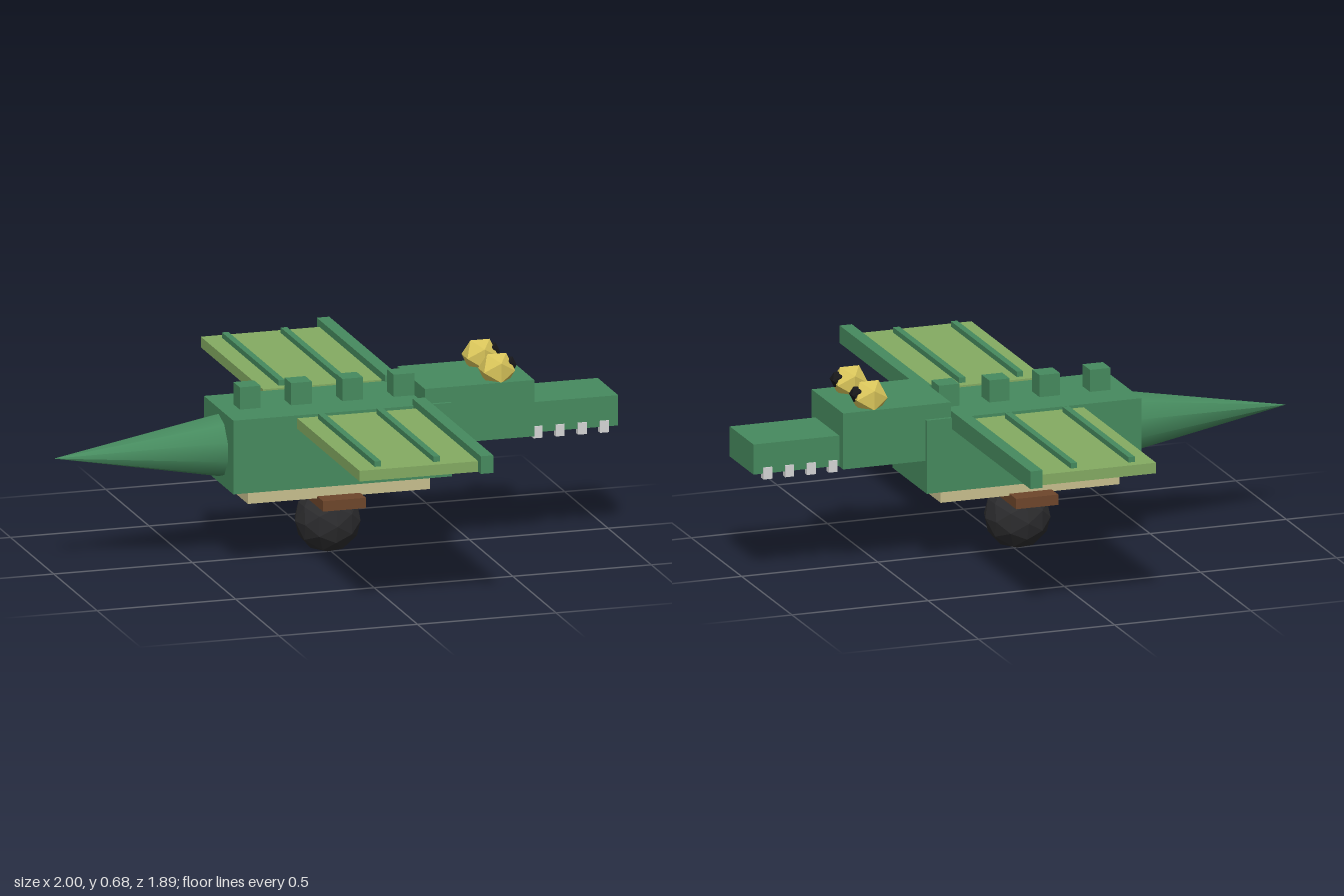
import * as THREE from 'three';

const mat = (name, color, flatShading = false) => {
  const m = new THREE.MeshStandardMaterial({ color, flatShading });
  m.name = name;
  return m;
};

export function createModel() {
  const model = new THREE.Group();
  model.name = 'wingedReptileOnWheel';

  const green = mat('scaleGreen', 0x468a5e);
  const lime = mat('wingGreen', 0x84ab62);
  const tan = mat('bellyTan', 0xc8bf8e);
  const brown = mat('axleBrown', 0x6e462b);
  const rubber = mat('wheelBlack', 0x2c2c2e, true);
  const yellow = mat('eyeYellow', 0xd8c45a, true);
  const black = mat('pupilBlack', 0x17171a, true);
  const ivory = mat('toothWhite', 0xd6d6d6);

  const add = (name, geometry, material, x, y, z) => {
    const mesh = new THREE.Mesh(geometry, material);
    mesh.name = name;
    mesh.position.set(x, y, z);
    model.add(mesh);
    return mesh;
  };
  // Box given by its limits on each axis
  const box = (name, material, [x0, x1], [y0, y1], [z0, z1]) =>
    add(name, new THREE.BoxGeometry(x1 - x0, y1 - y0, z1 - z0), material,
      (x0 + x1) / 2, (y0 + y1) / 2, (z0 + z1) / 2);
  // The same limits on the +z or -z side
  const side = (s, a, b) => (s > 0 ? [a, b] : [-b, -a]);

  // Trunk, head and snout
  box('body', green, [-0.405, 0.383], [0.28, 0.543], [-0.17, 0.17]);
  box('belly', tan, [-0.34, 0.317], [0.23, 0.28], [-0.13, 0.13]);
  box('head', green, [0.29, 0.685], [0.395, 0.596], [-0.157, 0.157]);
  box('snout', green, [0.685, 1], [0.398, 0.506], [-0.118, 0.118]);

  // Tapering tail
  const tailGeo = new THREE.ConeGeometry(0.112, 0.6, 10);
  tailGeo.rotateY(Math.PI / 2).rotateZ(Math.PI / 2);
  add('tail', tailGeo, green, -0.7, 0.412, 0);

  // Blocks along the spine
  for (let i = 0; i < 4; i++) {
    const x = -0.303 + i * 0.185;
    box('backBlock', green, [x - 0.0375, x + 0.0375], [0.53, 0.622], [-0.0375, 0.0375]);
  }

  // Single wheel on its axle bar
  box('axle', brown, [-0.09, 0.065], [0.2, 0.237], [-0.198, 0.198]);
  add('wheel', new THREE.IcosahedronGeometry(0.117, 1), rubber, -0.012, 0.117, 0);

  for (const s of [1, -1]) {
    // Wing panel, leading edge and ribs
    box('wing', lime, [-0.183, 0.25], [0.503, 0.541], side(s, 0.197, 0.917));
    box('wingLeadingEdge', green, [0.245, 0.29], [0.503, 0.566], side(s, 0.157, 0.947));
    for (const x of [-0.106, 0.106]) {
      box('wingRib', green, [x - 0.0115, x + 0.0115], [0.53, 0.56], side(s, 0.227, 0.882));
    }

    // Eye and pupil
    add('eye', new THREE.IcosahedronGeometry(0.066, 0), yellow, 0.568, 0.628, s * 0.096);
    add('pupil', new THREE.IcosahedronGeometry(0.032, 0), black, 0.608, 0.642, s * 0.096);

    // Row of teeth
    for (let i = 0; i < 4; i++) {
      const x = 0.709 + i * 0.08;
      box('tooth', ivory, [x - 0.016, x + 0.016], [0.378, 0.42], side(s, 0.1, 0.123));
    }
  }

  return model;
}
